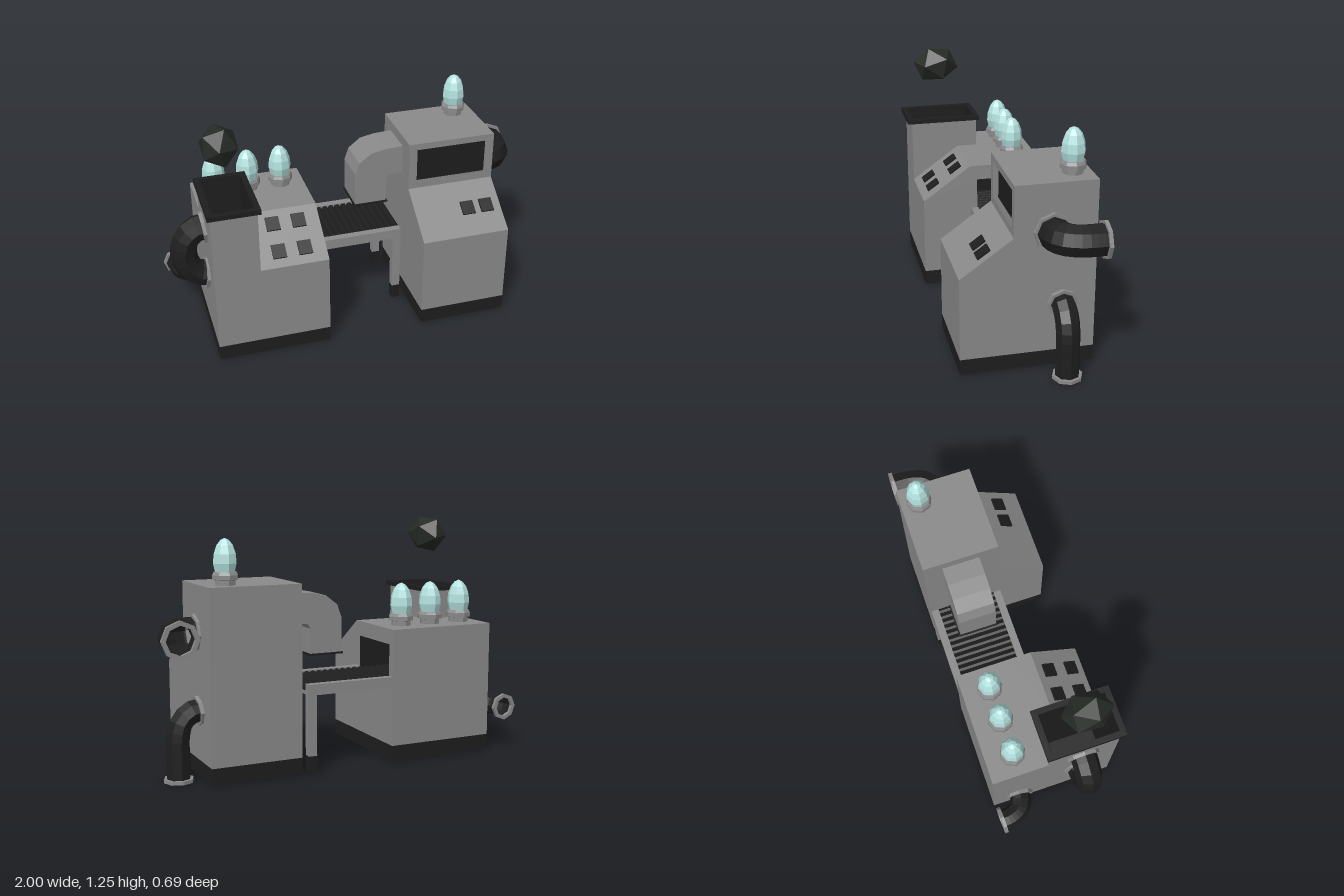
import * as THREE from 'three';

const mat = (color) => new THREE.MeshStandardMaterial({ color, flatShading: true, side: THREE.DoubleSide });
const V = (x, y, z) => new THREE.Vector3(x, y, z);

export function createModel() {
  const root = new THREE.Group();
  const grey = mat(0x8a8a8a), dark = mat(0x1e1e1e), glass = mat(0xb4e2df), ore = mat(0x262b26);

  function add(name, geo, material, parent = root) {
    const m = new THREE.Mesh(geo, material);
    m.name = name;
    parent.add(m);
    return m;
  }
  function group(name) {
    const g = new THREE.Group();
    g.name = name;
    root.add(g);
    return g;
  }
  // box given by its lower and upper limits on each axis
  function box(name, x0, x1, y0, y1, z0, z1, material, parent) {
    const g = new THREE.BoxGeometry(x1 - x0, y1 - y0, z1 - z0);
    g.translate((x0 + x1) / 2, (y0 + y1) / 2, (z0 + z1) / 2);
    return add(name, g, material, parent);
  }
  const poly = (pts) => new THREE.Shape(pts.map((p) => new THREE.Vector2(p[0], p[1])));
  const rect = (a0, a1, b0, b1) => poly([[a0, b0], [a1, b0], [a1, b1], [a0, b1]]);

  // sheet across x, between two [z, y] points; the hole is [x0, x1, along0, along1]
  function sheet(name, x0, x1, a, b, parent, hole) {
    const up = V(0, b[1] - a[1], b[0] - a[0]);
    const s = rect(x0, x1, 0, up.length());
    if (hole) s.holes.push(rect(...hole));
    up.normalize();
    const X = V(1, 0, 0);
    const m = new THREE.Matrix4().makeBasis(X, up, X.clone().cross(up)).setPosition(0, a[1], a[0]);
    add(name, new THREE.ShapeGeometry(s).applyMatrix4(m), grey, parent);
  }
  // side plate at x with a [z, y] outline
  function side(name, x, pts, parent, hole) {
    const s = poly(pts);
    if (hole) s.holes.push(rect(...hole));
    const g = new THREE.ShapeGeometry(s).rotateY(-Math.PI / 2);
    add(name, g.translate(x, 0, 0), grey, parent);
  }
  // horizontal rectangular frame
  function frame(name, x0, x1, z0, z1, y0, y1, t, parent) {
    const s = rect(x0, x1, -z1, -z0);
    s.holes.push(rect(x0 + t, x1 - t, -z1 + t, -z0 - t));
    const g = new THREE.ExtrudeGeometry(s, { depth: y1 - y0, bevelEnabled: false });
    add(name, g.rotateX(-Math.PI / 2).translate(0, y0, 0), dark, parent);
  }
  function button(x, z, parent) {
    const b = add('button', new THREE.BoxGeometry(0.07, 0.02, 0.075), dark, parent);
    b.position.set(x, 0.7 - (z - 0.06) * 0.7115, z);
    b.rotation.x = 0.618;
  }

  const back = -0.345, front = 0.32, mid = 0.06, low = 0.09;

  // intake machine: hollow shell with a hopper tower in one corner
  const L = group('intakeMachine');
  const lx0 = -0.815, lx1 = -0.225, tx = -0.58, tz = -0.05, ty = 0.86;
  sheet('frontWall', lx0, lx1, [front, low], [front, 0.515], L);
  sheet('slopedPanel', tx, lx1, [front, 0.515], [mid, 0.7], L);
  sheet('roofFront', tx, lx1, [mid, 0.7], [tz, 0.7], L);
  sheet('roofBack', lx0, lx1, [tz, 0.7], [back, 0.7], L);
  sheet('backWall', lx0, lx1, [back, low], [back, 0.7], L);
  side('innerSide', lx1, [[back, low], [front, low], [front, 0.515], [mid, 0.7], [back, 0.7]], L, [-0.305, 0.02, 0.41, 0.62]);
  side('outerSide', lx0, [[back, low], [front, low], [front, ty], [tz, ty], [tz, 0.7], [back, 0.7]], L);
  sheet('towerFront', lx0, tx, [front, 0.515], [front, ty], L);
  sheet('towerBack', lx0, tx, [tz, 0.7], [tz, ty], L);
  side('towerSide', tx, [[tz, 0.7], [mid, 0.7], [front, 0.515], [front, ty], [tz, ty]], L);
  frame('baseBand', lx0, lx1, back, front, 0.01, low, 0.06, L);
  frame('hopperRim', -0.83, -0.565, -0.065, 0.345, 0.853, 0.878, 0.03, L);
  // hopper pit, narrowing downwards
  const pit = new THREE.CylinderGeometry(Math.SQRT1_2, 0.65, 0.67, 4, 1, true).rotateY(Math.PI / 4);
  pit.scale(0.205, 1, 0.345).translate(-0.6975, 0.535, 0.14);
  add('hopperPit', pit, dark, L);
  box('hopperFloor', -0.79, -0.605, 0.19, 0.205, -0.018, 0.298, dark, L);
  for (const x of [-0.47, -0.335]) for (const z of [0.125, 0.25]) button(x, z, L);
  // tunnel lining around the belt
  box('tunnelEnd', -0.5, -0.49, 0.4, 0.63, -0.315, 0.03, dark, L);
  box('tunnelRoof', -0.5, lx1 - 0.002, 0.62, 0.63, -0.315, 0.03, dark, L);
  for (const z of [-0.315, 0.02]) box('tunnelWall', -0.5, lx1 - 0.002, 0.4, 0.63, z, z + 0.01, dark, L);

  // output machine with a recessed screen
  const R = group('outputMachine');
  const rx0 = 0.285, rx1 = 0.76, top = 0.96;
  const outline = [[front, low], [front, 0.515], [mid, 0.7], [mid, top], [back, top], [back, low]];
  const names = ['frontWall', 'slopedPanel', 'screenWall', 'roof', 'backWall'];
  names.forEach((n, i) => sheet(n, rx0, rx1, outline[i], outline[i + 1], R,
    n === 'screenWall' ? [0.33, 0.715, 0.04, 0.225] : null));
  for (const x of [rx0, rx1]) side('sideWall', x, outline, R);
  frame('baseBand', rx0, rx1, back, front, 0.01, low, 0.06, R);
  box('screen', 0.32, 0.725, 0.73, 0.935, 0.015, 0.03, dark, R);
  for (const x of [0.575, 0.68]) button(x, 0.19, R);

  // conveyor table
  const C = group('conveyor');
  for (const [z0, z1] of [[back, -0.305], [0.015, 0.055]]) {
    box('rail', lx1, 0.25, 0.4, 0.455, z0, z1, grey, C);
    box('leg', 0.205, 0.25, low, 0.4, z0, z1, grey, C);
    box('foot', 0.205, 0.25, 0.01, low, z0, z1, dark, C);
  }
  box('endRail', 0.225, 0.25, 0.4, 0.43, -0.305, 0.015, grey, C);
  for (let x = -0.47; x < 0.24; x += 0.0355) {
    const g = new THREE.CylinderGeometry(0.018, 0.018, 0.32, 8).rotateX(Math.PI / 2);
    add('roller', g, dark, C).position.set(x, 0.435, -0.145);
  }

  // square chute bending down over the belt
  const chute = poly([[0.285, 0.905], [0.19, 0.9], [0.11, 0.885], [0.045, 0.835], [0.022, 0.77], [0.022, 0.59],
    [0.195, 0.59], [0.195, 0.72], [0.21, 0.745], [0.285, 0.75]]);
  const chuteGeo = new THREE.ExtrudeGeometry(chute, { depth: 0.2, bevelEnabled: false });
  add('chute', chuteGeo.translate(0, 0, -0.245), grey);
  box('chuteLip', 0.015, 0.202, 0.583, 0.592, -0.252, -0.038, dark);

  // pipes with octagonal collars at both ends
  function collar(at, dir, r, parent) {
    const p = [[r * 0.9, 0], [r + 0.015, 0], [r + 0.015, 0.018], [r * 0.9, 0.018], [r * 0.9, 0]];
    const m = add('collar', new THREE.LatheGeometry(p.map((q) => new THREE.Vector2(...q)), 8), grey, parent);
    m.position.copy(at);
    m.quaternion.setFromUnitVectors(V(0, 1, 0), dir);
  }
  function pipe(name, r, pts) {
    const g = group(name);
    const c = new THREE.CatmullRomCurve3(pts.map((p) => V(...p)));
    add('tube', new THREE.TubeGeometry(c, 10, r, 8), dark, g);
    collar(c.getPoint(0), c.getTangent(0), r, g);
    collar(c.getPoint(1), c.getTangent(1).negate(), r, g);
  }
  pipe('upperExhaustPipe', 0.08, [[0.76, 0.72, -0.125], [0.81, 0.72, -0.128], [0.865, 0.72, -0.16],
    [0.895, 0.72, -0.23], [0.9, 0.72, -0.29], [0.9, 0.72, -0.343]]);
  pipe('drainPipe', 0.06, [[0.76, 0.345, -0.18], [0.8, 0.34, -0.18], [0.85, 0.3, -0.18],
    [0.873, 0.23, -0.18], [0.875, 0.1, -0.18], [0.875, 0, -0.18]]);
  pipe('loopPipe', 0.068, [[lx0, 0.705, 0.13], [-0.86, 0.7, 0.13], [-0.912, 0.65, 0.13], [-0.932, 0.57, 0.13],
    [-0.912, 0.49, 0.13], [-0.86, 0.44, 0.13], [lx0, 0.435, 0.13]]);
  pipe('lowerExhaustPipe', 0.057, [[lx0, 0.23, -0.2], [-0.85, 0.23, -0.203], [-0.9, 0.23, -0.235],
    [-0.925, 0.23, -0.29], [-0.927, 0.23, -0.343]]);

  // egg-shaped lamps on stepped sockets
  const lathe = (pts) => new THREE.LatheGeometry(pts.map((p) => new THREE.Vector2(p[0], p[1])), 8);
  const socket = lathe([[0.052, 0], [0.052, 0.025], [0.066, 0.028], [0.066, 0.05], [0.058, 0.064], [0, 0.064]]);
  const bulb = lathe([[0.05, 0.062], [0.06, 0.105], [0.056, 0.15], [0.042, 0.19], [0.022, 0.215], [0, 0.225]]);
  for (const [x, y, z] of [[-0.705, 0.7, -0.205], [-0.525, 0.7, -0.205], [-0.35, 0.7, -0.205], [0.645, 0.96, -0.25]]) {
    const g = group('lamp');
    add('socket', socket, grey, g);
    add('bulb', bulb, glass, g);
    g.position.set(x, y, z);
  }

  // lump of ore floating above the hopper
  const rock = new THREE.IcosahedronGeometry(0.11, 0).rotateZ(0.3).rotateX(0.35).scale(0.92, 0.97, 1.18);
  add('oreLump', rock, ore).position.set(-0.72, 1.155, 0.155);

  return root;
}
